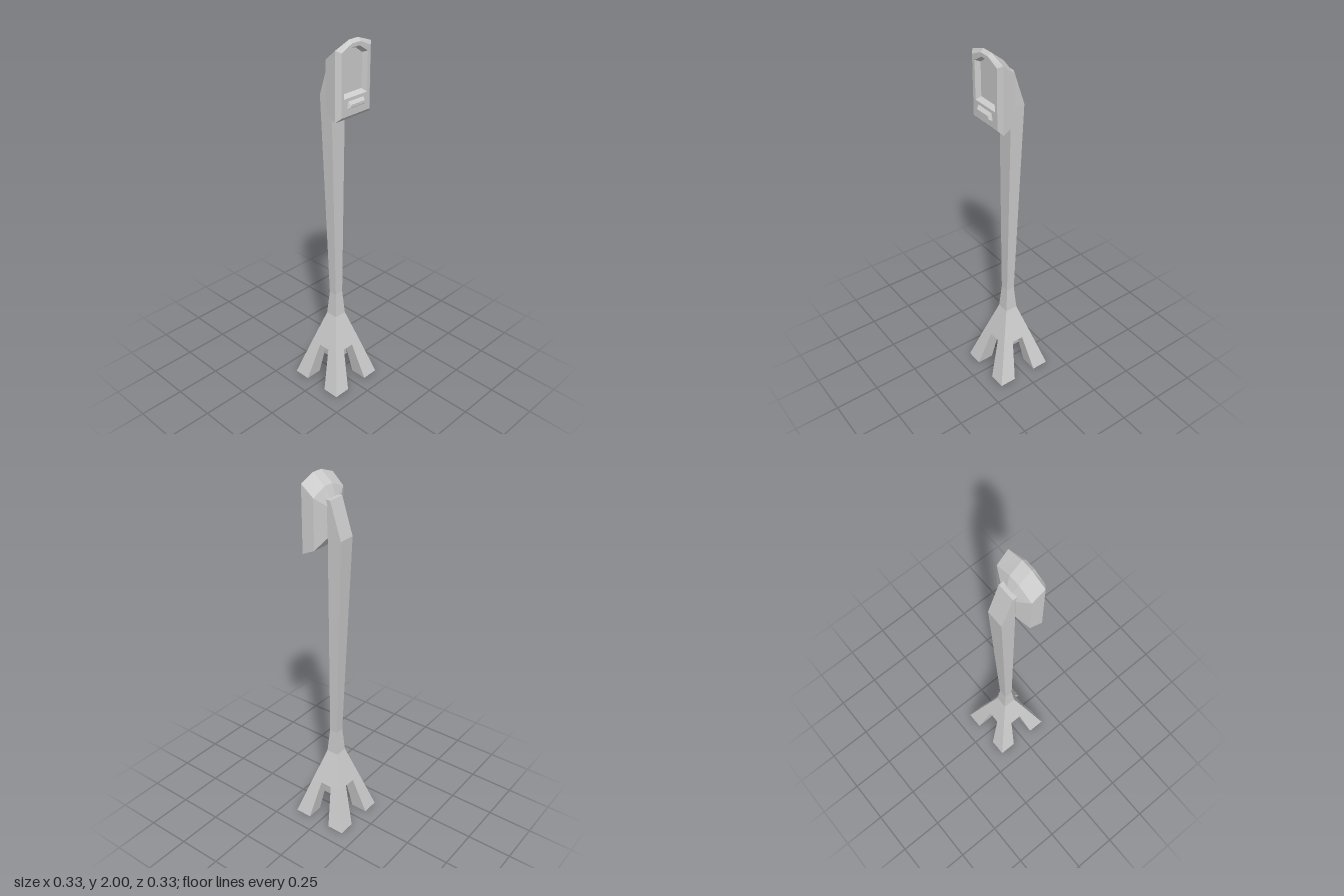
import * as THREE from 'three';

const material = new THREE.MeshStandardMaterial({ color: 0xcccccc, flatShading: true });

// Skin a list of rings (counter-clockwise seen from the last ring) and cap both ends
function loft(name, rings) {
  const n = rings[0].length, last = (rings.length - 1) * n, index = [];
  for (let i = 0; i < rings.length - 1; i++) {
    for (let j = 0; j < n; j++) {
      const a = i * n + j, b = i * n + (j + 1) % n;
      index.push(a, b, b + n, a, b + n, a + n);
    }
  }
  for (let j = 1; j < n - 1; j++) index.push(0, j + 1, j, last, last + j, last + j + 1);
  const indexed = new THREE.BufferGeometry();
  indexed.setAttribute('position', new THREE.Float32BufferAttribute(rings.flat(2), 3));
  indexed.setIndex(index);
  const geometry = indexed.toNonIndexed();
  geometry.computeVertexNormals();
  const mesh = new THREE.Mesh(geometry, material);
  mesh.name = name;
  return mesh;
}

// Horizontal rectangle at height y
const rect = (y, x0, x1, z0, z1) => [[x0, y, z1], [x1, y, z1], [x1, y, z0], [x0, y, z0]];

// Upright outline with a blunt peak: half width, bottom, shoulder, peak, half peak width
const peaked = (z, w, bottom, shoulder, peak, p) => [
  [-w, bottom, z], [w, bottom, z], [w, shoulder, z], [p, peak, z], [-p, peak, z], [-w, shoulder, z],
];

export function createModel() {
  const model = new THREE.Group();
  model.name = 'postWithDisplayHead';

  // Tapering post: flared hub, slim neck, bent top
  const post = [
    [0.225, 0.095, -0.095, 0.095],
    [0.42, 0.035, -0.035, 0.035],
    [0.56, 0.025, -0.023, 0.023],
    [1.70, 0.047, -0.063, 0.015],
    [1.89, 0.047, 0.0, 0.03],
  ];
  model.add(loft('post', post.map(([y, w, back, front]) => rect(y, -w, w, back, front))));

  // Four splayed feet
  const span = (sign, inner, outer) => (sign > 0 ? [inner, outer] : [-outer, -inner]);
  for (const sx of [-1, 1]) {
    for (const sz of [-1, 1]) {
      const name = (sz > 0 ? 'front' : 'back') + (sx > 0 ? 'Left' : 'Right') + 'Foot';
      model.add(loft(name, [
        rect(0, ...span(sx, 0.068, 0.163), ...span(sz, 0.068, 0.163)),
        rect(0.225, ...span(sx, 0.033, 0.095), ...span(sz, 0.033, 0.095)),
      ]));
    }
  }

  // Head: tapered back, bevelled rim and recessed panel
  model.add(loft('head', [
    peaked(0.015, 0.05, 1.70, 1.86, 1.88, 0.015),
    peaked(0.045, 0.115, 1.65, 1.91, 1.945, 0.03),
    peaked(0.112, 0.12, 1.62, 1.967, 2.0, 0.03),
    peaked(0.13, 0.097, 1.64, 1.953, 1.985, 0.028),
    peaked(0.13, 0.078, 1.73, 1.93, 1.966, 0.022),
    peaked(0.105, 0.066, 1.745, 1.92, 1.953, 0.02),
  ]));

  // Small bevelled ledge below the panel
  const ledge = (z, w0, w1, y0, y1) => [[-w0, y0, z], [w0, y0, z], [w1, y1, z], [-w1, y1, z]];
  model.add(loft('ledge', [
    ledge(0.125, 0.06, 0.052, 1.677, 1.714),
    ledge(0.132, 0.06, 0.052, 1.677, 1.714),
    ledge(0.146, 0.05, 0.045, 1.686, 1.7),
  ]));

  return model;
}
